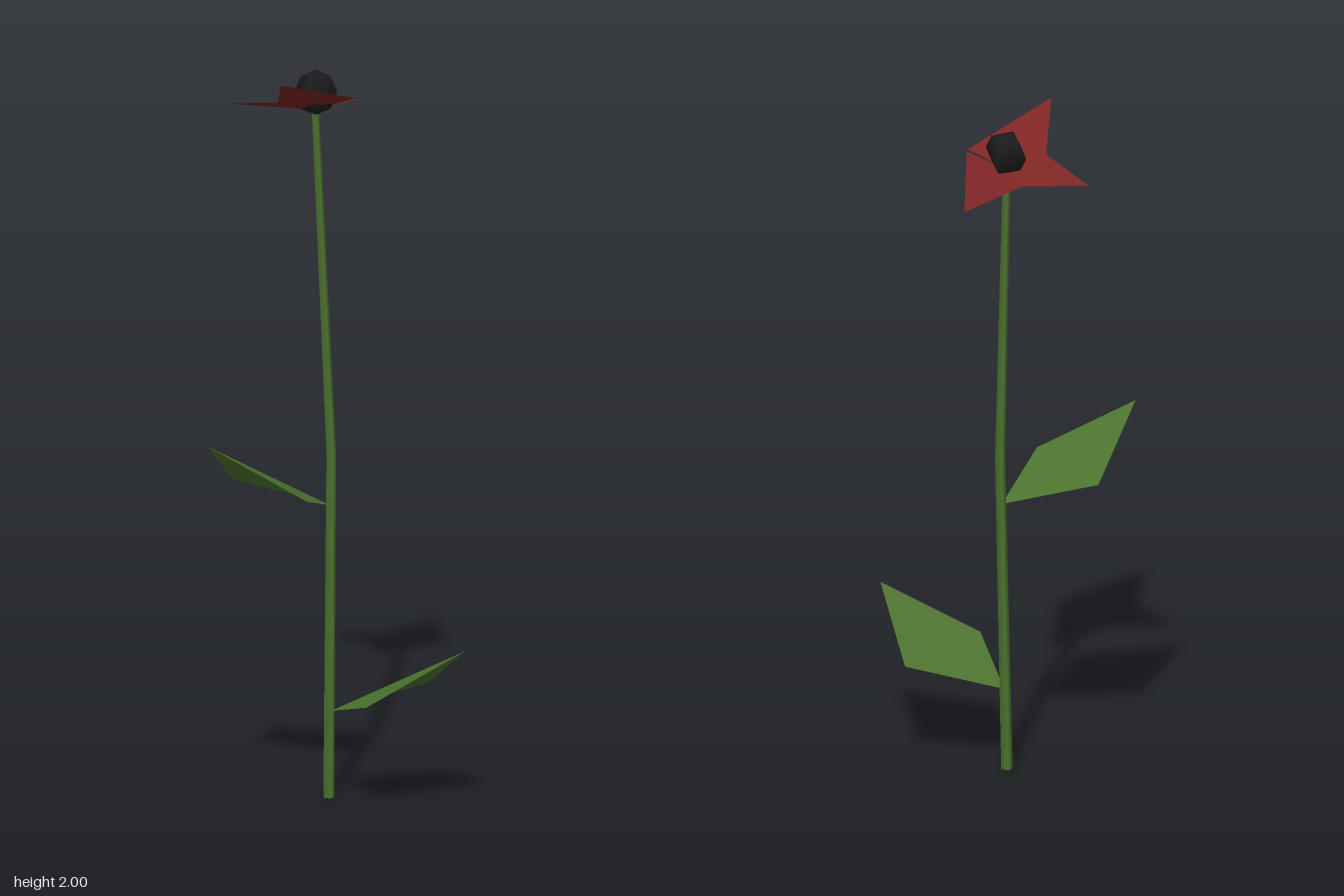
import * as THREE from 'three';

const mat = (name, color, side = THREE.FrontSide) => {
  const m = new THREE.MeshStandardMaterial({ color, side });
  m.name = name;
  return m;
};

// Four-cornered blade: base, side, tip, side. Creased from base to tip, shaded as one surface.
function blade(name, corners, material) {
  const [a, b, c, d] = corners.map(p => new THREE.Vector3(...p));
  const n = c.clone().sub(a).cross(d.clone().sub(b)).normalize();
  const geo = new THREE.BufferGeometry().setFromPoints([a, b, c, d]);
  geo.setAttribute('normal', new THREE.Float32BufferAttribute([n, n, n, n].flatMap(v => v.toArray()), 3));
  geo.setIndex([0, 1, 2, 0, 2, 3]);
  const mesh = new THREE.Mesh(geo, material);
  mesh.name = name;
  return mesh;
}

// Square stalk bent at its middle ring
function stalk(material) {
  const rings = [
    { c: [-0.008, 0, 0.136], r: 0.0165 },
    { c: [-0.038, 0.95, 0.043], r: 0.0145 },
    { c: [-0.155, 1.885, -0.13], r: 0.011 },
  ];
  const geo = new THREE.CylinderGeometry(1, 1, 2, 4, 2);
  geo.rotateY(Math.PI / 4);
  const p = geo.attributes.position;
  for (let i = 0; i < p.count; i++) {
    const { c, r } = rings[Math.round(p.getY(i)) + 1];
    p.setXYZ(i, c[0] + p.getX(i) * r, c[1], c[2] + p.getZ(i) * r);
  }
  const mesh = new THREE.Mesh(geo, material);
  mesh.name = 'stem';
  return mesh;
}

export function createModel() {
  const group = new THREE.Group();
  group.name = 'flower';
  const stemGreen = mat('stem green', 0x4e7630);
  const leafGreen = mat('leaf green', 0x4e7630, THREE.DoubleSide);
  const red = mat('petal red', 0x7f2525, THREE.DoubleSide);
  const black = mat('centre black', 0x1c1c1c);

  group.add(stalk(stemGreen));

  // Leaves
  group.add(blade('lowerLeaf', [
    [-0.01, 0.24, 0.117], [0.176, 0.31, 0.317], [0.413, 0.46, 0.176], [0.223, 0.31, -0.026],
  ], leafGreen));
  group.add(blade('upperLeaf', [
    [-0.035, 0.807, 0.058], [-0.29, 0.88, 0.147], [-0.256, 1.035, 0.42], [0.003, 0.88, 0.326],
  ], leafGreen));

  // Three petals around the top of the stem, with a narrow slit on one side
  const hub = [-0.155, 1.875, -0.13];
  const backNotch = [-0.245, 1.862, -0.204];
  const frontNotch = [-0.236, 1.905, -0.052];
  const petals = new THREE.Group();
  petals.name = 'petals';
  petals.add(
    blade('backPetal', [hub, [-0.04, 1.91, -0.149], [-0.182, 1.845, -0.42], backNotch], red),
    blade('sidePetal', [hub, backNotch, [-0.413, 1.87, -0.128], frontNotch], red),
    blade('frontPetal', [hub, frontNotch, [-0.153, 2, 0.127], [-0.04, 1.915, -0.142]], red),
  );
  group.add(petals);

  // Faceted centre, leaning back with the petals
  const centre = new THREE.Mesh(new THREE.SphereGeometry(0.063, 4, 4), black);
  centre.name = 'flowerCentre';
  centre.position.set(-0.156, 1.923, -0.136);
  centre.rotation.set(-0.25, 0, 0.12);
  group.add(centre);

  return group;
}
